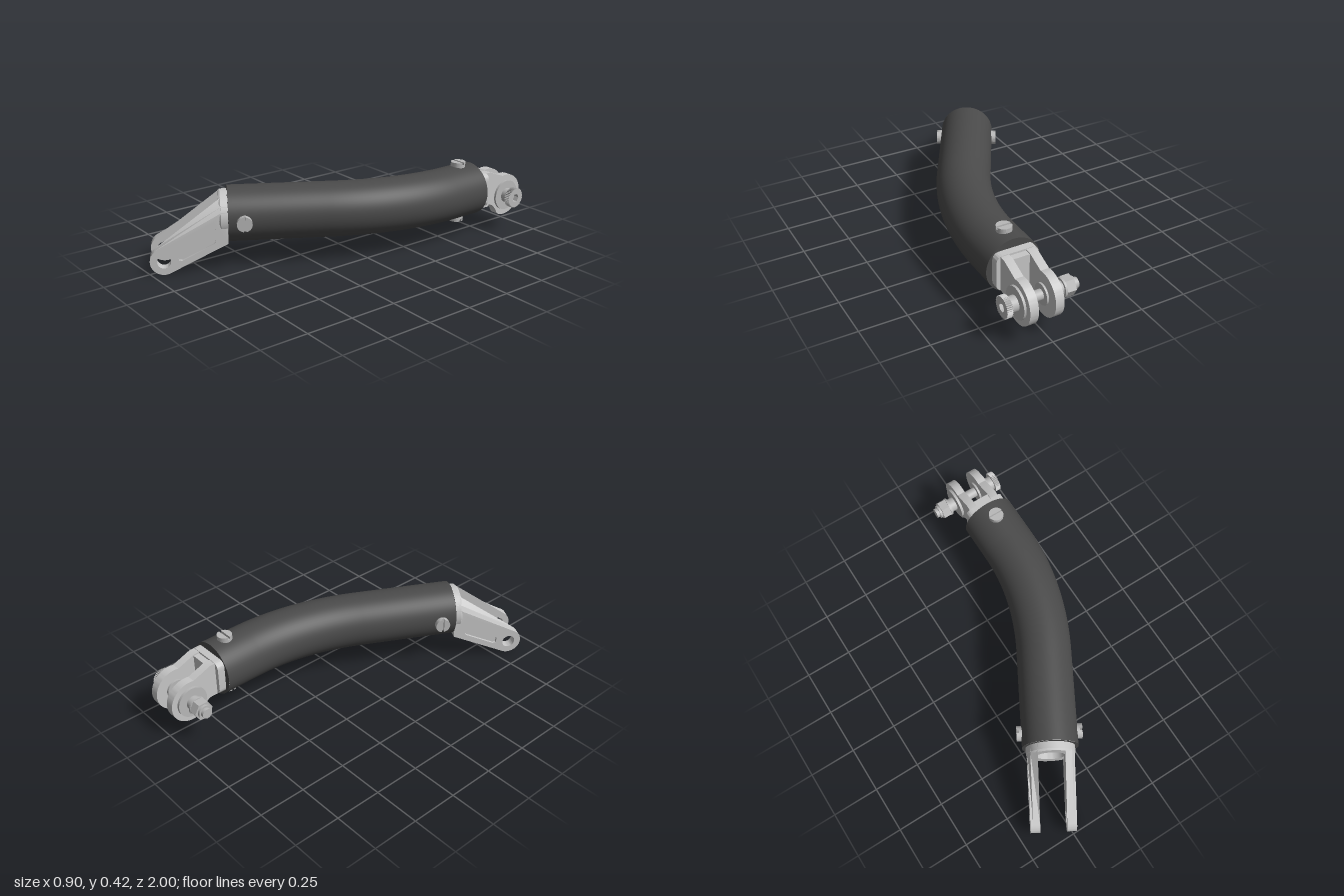
import * as THREE from 'three';
import { toCreasedNormals } from 'three/addons/utils/BufferGeometryUtils.js';

const dark = new THREE.MeshStandardMaterial({ color: 0x4a4a4a, side: THREE.DoubleSide });
dark.name = 'dark tube';
const alloy = new THREE.MeshStandardMaterial({ color: 0xc6c6c6 });
alloy.name = 'pale alloy';
const steel = new THREE.MeshStandardMaterial({ color: 0xb8b8b8 });
steel.name = 'bolt steel';

function add(parent, name, geo, mat) {
  const mesh = new THREE.Mesh(geo, mat);
  mesh.name = name;
  parent.add(mesh);
  return mesh;
}

const pts = (list) => list.map(([a, b]) => new THREE.Vector2(a, b));
const extrude = (shape, depth) =>
  new THREE.ExtrudeGeometry(shape, { depth, bevelEnabled: false, curveSegments: 24 });

// Side profile in (z, y), extruded across x so that its outer face lies at xOuter
const slab = (shape, depth, xOuter) =>
  extrude(shape, depth).rotateY(-Math.PI / 2).translate(xOuter, 0, 0);

// Cylinder along x
function rod(parent, name, x0, x1, r, sides = 32) {
  const geo = new THREE.CylinderGeometry(r, r, x1 - x0, sides).rotateZ(Math.PI / 2);
  return add(parent, name, geo.translate((x0 + x1) / 2, 0, 0),
    steel);
}

// Slotted screw head pointing along +y
function screw(parent, radius) {
  const g = new THREE.Group();
  g.name = 'slottedScrew';
  const r = 0.039, a = 0.15, base = 0.024, top = 0.038;
  add(g, 'screwBase', new THREE.CylinderGeometry(r, r, base, 32).translate(0, base / 2, 0), steel);
  for (const turn of [0, Math.PI]) {
    const half = new THREE.Shape();
    half.absarc(0, 0, r, a, Math.PI - a, false);
    half.closePath();
    const geo = extrude(half, top - base).rotateX(-Math.PI / 2).translate(0, base, 0).rotateY(turn);
    add(g, 'screwHalf', toCreasedNormals(geo, 0.6), steel);
  }
  g.children.forEach((m) => m.geometry.translate(0, radius, 0));
  parent.add(g);
  return g;
}

// Bent tube with rims
function buildTube(root) {
  const p = [[0.284, 0.262, -0.69], [0.284, 0.263, -0.48], [0.282, 0.27, -0.15],
    [0.1, 0.275, 0.165], [-0.145, 0.28, 0.6]].map((v) => new THREE.Vector3(...v));
  const path = new THREE.CurvePath();
  path.add(new THREE.LineCurve3(p[0], p[1]));
  path.add(new THREE.QuadraticBezierCurve3(p[1], p[2], p[3]));
  path.add(new THREE.LineCurve3(p[3], p[4]));
  add(root, 'bentTube', new THREE.TubeGeometry(path, 60, 0.144, 64), dark);
  const cap = add(root, 'tubeBackEnd', new THREE.CircleGeometry(0.144, 64), dark);
  cap.position.copy(p[0]);
  cap.rotation.y = Math.PI;
}

// Front fork: local z runs out along the tube axis, x across it
function buildFork(root) {
  const fork = new THREE.Group();
  fork.name = 'frontFork';
  fork.position.set(-0.145, 0.28, 0.6);
  fork.rotation.y = -0.514;
  root.add(fork);
  add(fork, 'tubeFrontRim', new THREE.RingGeometry(0.118, 0.144, 64), dark);

  // Socket collar with a blind bore
  const collar = new THREE.LatheGeometry(
    pts([[0, -0.1], [0.073, -0.1], [0.073, 0.045], [0.118, 0.045], [0.126, 0.035], [0.126, -0.1]]).reverse(), 48);
  add(fork, 'collar', toCreasedNormals(collar.rotateX(Math.PI / 2), 0.6), alloy);

  const tip = [0.326, -0.201], R = 0.07;
  const outline = () => {
    const s = new THREE.Shape();
    s.moveTo(0.002, 0.118);
    s.lineTo(0.002, -0.122);
    s.absarc(tip[0], tip[1], R, -2.03, 0.92, false);
    s.lineTo(0.035, 0.118);
    s.closePath();
    const eye = new THREE.Path();
    eye.absarc(tip[0], tip[1], 0.035, 0, Math.PI * 2, true);
    s.holes.push(eye);
    return s;
  };
  const pocketed = outline();
  pocketed.holes.push(new THREE.Path(pts([[0.065, -0.02], [0.075, -0.007], [0.095, -0.017],
    [0.24, -0.145], [0.254, -0.17], [0.252, -0.197], [0.235, -0.2], [0.075, -0.122], [0.065, -0.11]])));

  // Root corners follow the round section of the collar
  const trim = (geo) => {
    const p = geo.attributes.position;
    for (let i = 0; i < p.count; i++) {
      const x = p.getX(i);
      p.setY(i, Math.min(p.getY(i), Math.sqrt(Math.max(0, 0.126 ** 2 - x * x))));
    }
    geo.computeVertexNormals();
    return toCreasedNormals(geo, 0.5);
  };
  for (const side of [1, -1]) {
    const prong = new THREE.Group();
    prong.name = side > 0 ? 'leftProng' : 'rightProng';
    prong.scale.x = side;
    add(prong, 'prongWeb', trim(slab(outline(), 0.036, 0.105)), alloy);
    add(prong, 'prongFrame', trim(slab(pocketed, 0.014, 0.119)), alloy);
    fork.add(prong);
    const s = screw(fork, 0.13);
    s.position.set(0, -0.007, -0.08);
    s.rotation.set(0, 0, -side * Math.PI / 2);
  }
}

// Back lugs and their mounting plate
function buildLugs(root) {
  const cx = 0.284, cy = 0.262;
  const w = 0.112, y0 = -0.092, y1 = 0.098, c = 0.04;
  const plate = new THREE.Shape();
  plate.moveTo(-w + c, y0);
  plate.lineTo(w - c, y0);
  plate.quadraticCurveTo(w, y0, w, y0 + c);
  plate.lineTo(w, y1 - c);
  plate.quadraticCurveTo(w, y1, w - c, y1);
  plate.lineTo(-w + c, y1);
  plate.quadraticCurveTo(-w, y1, -w, y1 - c);
  plate.lineTo(-w, y0 + c);
  plate.quadraticCurveTo(-w, y0, -w + c, y0);
  add(root, 'mountingPlate', toCreasedNormals(extrude(plate, 0.04), 0.6), alloy)
    .position.set(cx, cy, -0.73);
  add(root, 'lugWeb', new THREE.BoxGeometry(0.1, 0.17, 0.06), alloy).position.set(cx, 0.265, -0.735);

  const lug = new THREE.Shape();
  lug.moveTo(-0.7, 0.17);
  lug.lineTo(-0.7, 0.358);
  lug.lineTo(-0.76, 0.357);
  lug.absarc(-0.885, 0.205, 0.115, 1.36, 5.2, false);
  lug.quadraticCurveTo(-0.8, 0.165, -0.765, 0.17);
  lug.closePath();
  for (const [name, outer] of [['leftLug', 0.374], ['rightLug', 0.24]]) {
    add(root, name, toCreasedNormals(slab(lug, 0.045, outer), 0.5), alloy);
  }
  // Screws above and below
  for (const side of [1, -1]) {
    const s = screw(root, 0.13);
    s.position.set(cx, cy, -0.6);
    s.rotation.x = side > 0 ? 0 : Math.PI;
  }
}

// Cross bolt through the lugs
function buildBolt(root) {
  const bolt = new THREE.Group();
  bolt.name = 'crossBolt';
  bolt.position.set(0, 0.205, -0.885);
  root.add(bolt);
  rod(bolt, 'shaft', 0.058, 0.425, 0.027);
  rod(bolt, 'nutCollar', 0.075, 0.09, 0.037);
  const nut = rod(bolt, 'hexNut', 0.088, 0.135, 0.052, 6);
  nut.geometry = toCreasedNormals(nut.geometry, 0.3);
  rod(bolt, 'nutWasher', 0.135, 0.146, 0.05);
  rod(bolt, 'spacer', 0.146, 0.18, 0.038);
  rod(bolt, 'rightFlange', 0.181, 0.2, 0.083);
  rod(bolt, 'rightBush', 0.235, 0.25, 0.055);
  rod(bolt, 'leftBush', 0.318, 0.335, 0.055);
  rod(bolt, 'leftFlange', 0.37, 0.386, 0.083);
  rod(bolt, 'headNeck', 0.386, 0.426, 0.04);

  // Knurled head with hex socket
  const n = 36, ring = [], hex = [];
  for (let i = 0; i < n * 2; i++) {
    const a = (i / n) * Math.PI, r = i % 2 ? 0.051 : 0.056;
    ring.push([r * Math.cos(a), r * Math.sin(a)]);
  }
  for (let i = 0; i < 6; i++) {
    const a = (-i / 3) * Math.PI;
    hex.push([0.024 * Math.cos(a), 0.024 * Math.sin(a)]);
  }
  const head = new THREE.Shape(pts(ring));
  head.holes.push(new THREE.Path(pts(hex)));
  add(bolt, 'knurledHead', slab(head, 0.03, 0.455), steel);
}

export function createModel() {
  const root = new THREE.Group();
  root.name = 'bentLinkArm';
  buildTube(root);
  buildFork(root);
  buildLugs(root);
  buildBolt(root);
  return root;
}
